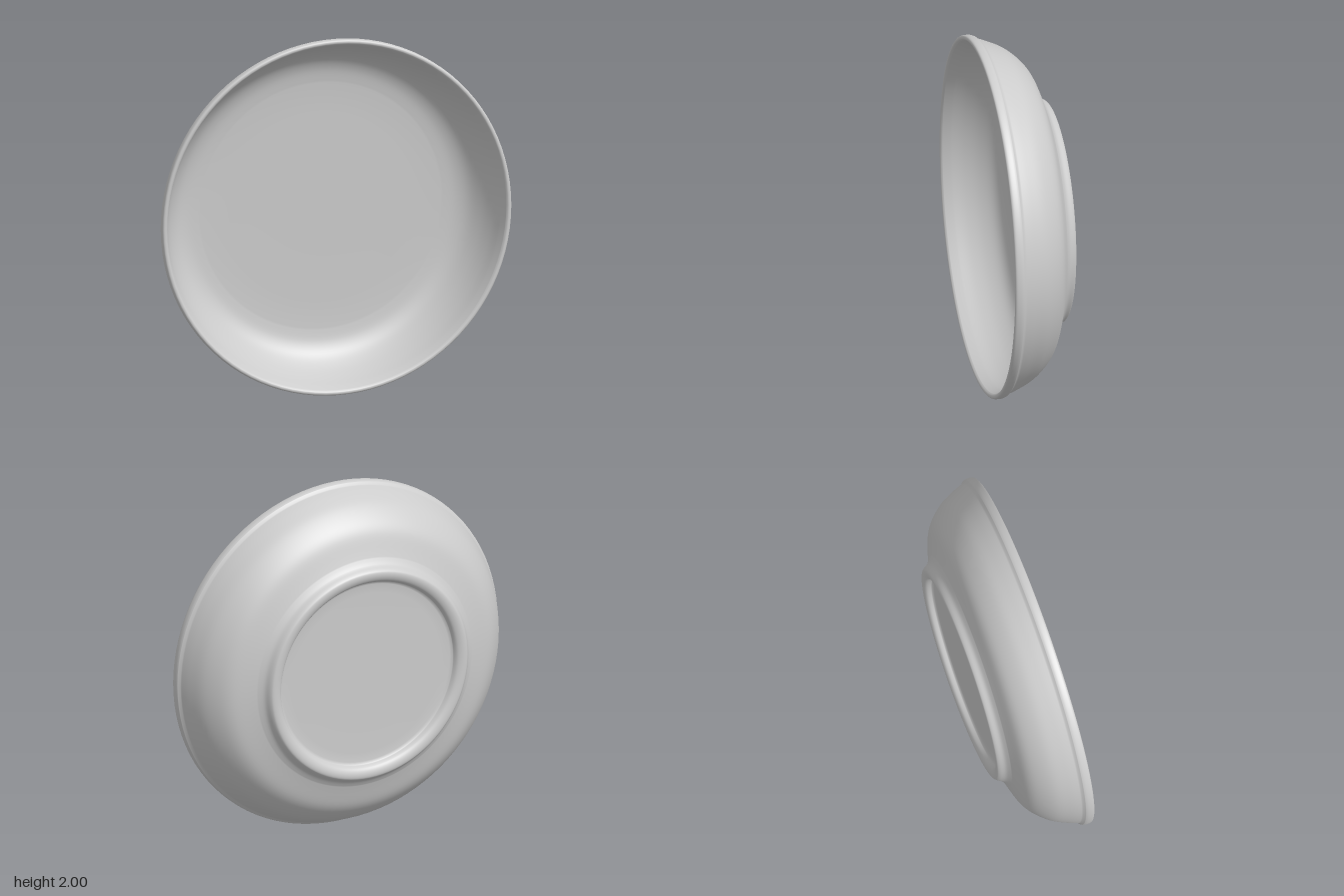
import * as THREE from 'three';

const v = ([r, z]) => new THREE.Vector2(r, z);
const smooth = (pts, n) => new THREE.SplineCurve(pts.map(v)).getPoints(n);

export function createModel() {
  const glaze = new THREE.MeshStandardMaterial({ color: 0xcccccc });
  glaze.name = 'greyGlaze';

  // Radius and depth along the section, from the centre of the back to the centre of the bowl
  const recess = smooth([[0, -0.165], [0.3, -0.165], [0.52, -0.167]], 6);
  const foot = smooth([[0.535, -0.175], [0.55, -0.2], [0.575, -0.212], [0.6, -0.212],
    [0.615, -0.2], [0.635, -0.17], [0.67, -0.148]], 24);
  const outerWall = smooth([[0.72, -0.132], [0.8, -0.103], [0.86, -0.06], [0.92, 0.01],
    [0.96, 0.09], [0.983, 0.15]], 24);
  const rim = smooth([[0.995, 0.16], [1, 0.175], [1, 0.2], [0.993, 0.211], [0.98, 0.211],
    [0.97, 0.2]], 16);
  const innerWall = smooth([[0.955, 0.16], [0.93, 0.09], [0.89, 0.015], [0.835, -0.05],
    [0.77, -0.085], [0.69, -0.1]], 24);
  const floor = smooth([[0.6, -0.105], [0.3, -0.107], [0, -0.107]], 6);

  // Turned dish, tipped up so the bowl faces forward
  const geometry = new THREE.LatheGeometry(
    [...recess, ...foot, ...outerWall, ...rim, ...innerWall, ...floor], 96);
  geometry.rotateX(Math.PI / 2);

  const dish = new THREE.Mesh(geometry, glaze);
  dish.name = 'dish';
  dish.position.y = 1;

  const model = new THREE.Group();
  model.name = 'footedDish';
  model.add(dish);
  return model;
}
